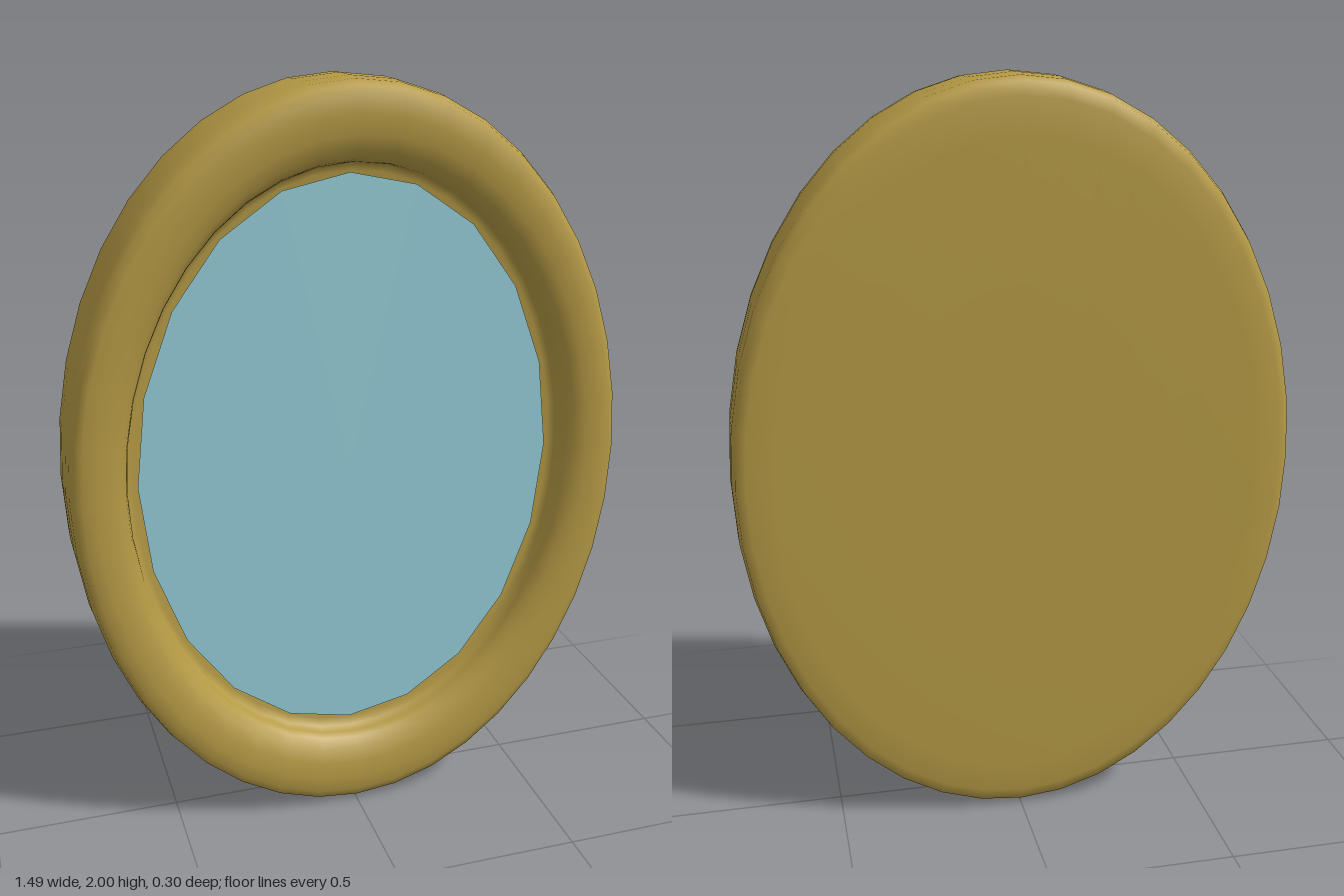
import * as THREE from 'three';

export function createModel() {
  const model = new THREE.Group();
  model.name = 'ovalMirror';

  const gold = new THREE.MeshStandardMaterial({ color: 0xb59a45 });
  gold.name = 'gold';
  const blue = new THREE.MeshStandardMaterial({ color: 0x93cbd6 });
  blue.name = 'glassBlue';

  // Frame: a rounded dish profile (radius, depth) turned round z, then squeezed to an oval
  const profile = [
    [0, -0.15], [0.5, -0.15], [0.86, -0.148], [0.95, -0.144], [0.985, -0.133], [0.996, -0.1],
    [1, -0.03], [1, 0.05], [0.996, 0.1], [0.985, 0.132], [0.96, 0.144], [0.92, 0.147],
    [0.87, 0.144], [0.83, 0.13], [0.808, 0.11], [0.8, 0.09], [0.795, 0.065], [0.775, 0.052], [0.7, 0.05], [0, 0.05],
  ].map(([r, z]) => new THREE.Vector2(r, z));
  const frameShape = new THREE.LatheGeometry(profile, 40);
  frameShape.rotateX(Math.PI / 2);
  frameShape.scale(0.745, 1, 1);
  const frame = new THREE.Mesh(frameShape, gold);
  frame.name = 'frame';
  frame.position.y = 1;
  model.add(frame);

  // Mirror glass: a twenty-sided oval plate set into the recess
  const glassShape = new THREE.CircleGeometry(1, 20);
  glassShape.scale(0.565, 0.77, 1);
  const glass = new THREE.Mesh(glassShape, blue);
  glass.name = 'glass';
  glass.position.set(0, 1, 0.057);
  model.add(glass);

  return model;
}
